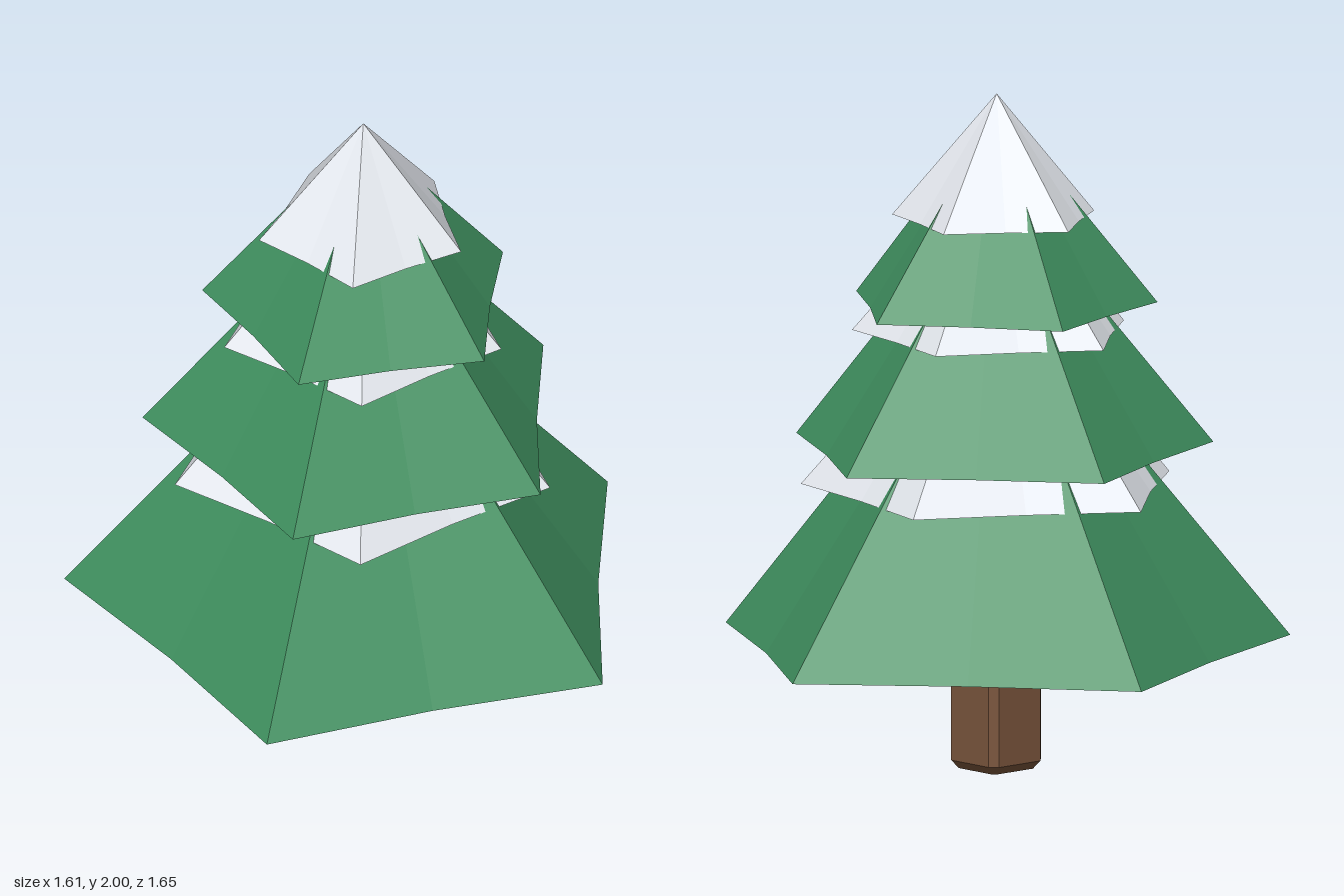
import * as THREE from 'three';

const AXIS_X = -0.06, AXIS_Z = 0.02;
const green = new THREE.MeshStandardMaterial({ color: 0x3f8f5f, flatShading: true });
const white = new THREE.MeshStandardMaterial({ color: 0xe6eaf0, flatShading: true });
const brown = new THREE.MeshStandardMaterial({ color: 0x7a553c, flatShading: true });

// Closed five-cornered pyramid whose base edges are slightly dented in the middle
function starCone(radius, height, dent) {
  const cone = new THREE.ConeGeometry(radius, height, 10, 1, false, Math.PI / 2);
  cone.translate(0, height / 2, 0);
  const p = cone.attributes.position;
  for (let i = 0; i < p.count; i++) {
    const x = p.getX(i), z = p.getZ(i);
    const k = Math.round(Math.atan2(z, x) / (Math.PI / 5));
    if (Math.hypot(x, z) > 1e-6 && k % 2 !== 0) p.setXYZ(i, x * dent, p.getY(i), z * dent);
  }
  const flat = cone.toNonIndexed();
  flat.computeVertexNormals();
  return flat;
}

function addCone(group, name, radius, bottom, top, degrees, material) {
  const mesh = new THREE.Mesh(starCone(radius, top - bottom, 0.786), material);
  mesh.name = name;
  mesh.position.set(AXIS_X, bottom, AXIS_Z);
  mesh.rotation.y = -THREE.MathUtils.degToRad(degrees);
  group.add(mesh);
}

export function createModel() {
  const tree = new THREE.Group();
  tree.name = 'snowyTree';

  // Trunk: square post with chamfered corners and ends
  const h = 0.103, c = 0.022;
  const outline = new THREE.Shape([
    [h, -h + c], [h, h - c], [h - c, h], [-h + c, h],
    [-h, h - c], [-h, -h + c], [-h + c, -h], [h - c, -h],
  ].map(([x, y]) => new THREE.Vector2(x, y)));
  const post = new THREE.ExtrudeGeometry(outline, {
    depth: 0.45, bevelEnabled: true, bevelSegments: 1,
    bevelThickness: 0.025, bevelSize: 0.022, bevelOffset: -0.022,
  });
  post.translate(0, 0, 0.025);
  post.rotateX(-Math.PI / 2);
  const trunk = new THREE.Mesh(post, brown);
  trunk.name = 'trunk';
  trunk.position.set(AXIS_X, 0, AXIS_Z + 0.003);
  tree.add(trunk);

  // Branch tiers, each with a snow cap turned slightly against it
  const tiers = [
    { name: 'lower', radius: 0.872, bottom: 0.365, top: 1.442, snowBottom: 0.83, snowTop: 1.5, turn: -4.8 },
    { name: 'middle', radius: 0.644, bottom: 0.945, top: 1.744, snowBottom: 1.29, snowTop: 1.788, turn: -5 },
    { name: 'upper', radius: 0.472, bottom: 1.372, top: 1.966, snowBottom: 1.63, snowTop: 2, turn: 0 },
  ];
  for (const t of tiers) {
    addCone(tree, t.name + 'Branches', t.radius, t.bottom, t.top, t.turn, green);
    addCone(tree, t.name + 'Snow', t.radius * 0.66, t.snowBottom, t.snowTop, t.turn - 18, white);
  }
  return tree;
}
